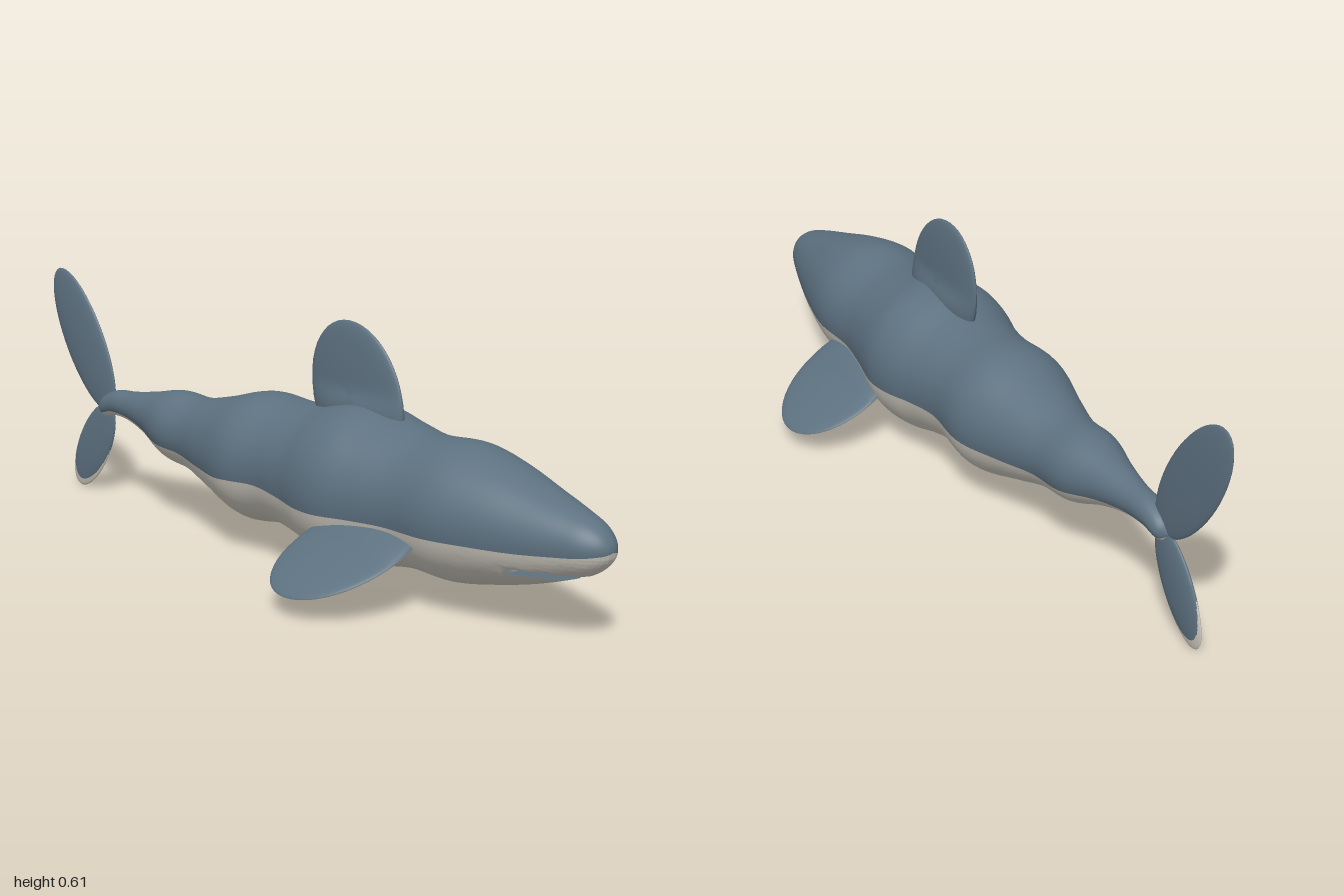
import * as THREE from 'three';
import { toCreasedNormals } from 'three/addons/utils/BufferGeometryUtils.js';

const slate = new THREE.MeshStandardMaterial({ color: 0x5d7180 });
slate.name = 'slate blue';
const pale = new THREE.MeshStandardMaterial({ color: 0xc8c4ba });
pale.name = 'pale belly';

// body stations: x, top y, bottom y
const stations = [
  [-0.79, 0.246, 0.242], [-0.77, 0.275, 0.222], [-0.72, 0.298, 0.23], [-0.65, 0.305, 0.225],
  [-0.56, 0.32, 0.2], [-0.46, 0.34, 0.158], [-0.36, 0.337, 0.143], [-0.25, 0.36, 0.108],
  [-0.12, 0.394, 0.07], [0, 0.39, 0.08], [0.1, 0.398, 0.062], [0.18, 0.418, 0.04],
  [0.25, 0.425, 0.034], [0.35, 0.405, 0.053], [0.45, 0.388, 0.068], [0.58, 0.393, 0.066],
  [0.69, 0.37, 0.085], [0.8, 0.335, 0.112], [0.9, 0.303, 0.145], [0.95, 0.284, 0.165],
  [0.98, 0.263, 0.187], [0.995, 0.243, 0.206], [1, 0.226, 0.224],
];
const spine = new THREE.CatmullRomCurve3(stations.map(([x, t, b]) => new THREE.Vector3(x, (t + b) / 2, (t - b) / 2)));
const rings = [];
for (let i = 0; i <= 132; i++) {
  const p = spine.getPoint(i / 132);
  rings.push({ x: p.x, cy: p.y, r: Math.max(p.z, 0.001) });
}

// skin lofted over rings; at(ring, v) gives a point
function loft(list, n, at) {
  const pos = [], idx = [];
  list.forEach((ring, i) => {
    for (let j = 0; j <= n; j++) {
      pos.push(...at(ring, j / n));
      if (i < list.length - 1 && j < n) {
        const a = i * (n + 1) + j, b = a + n + 1;
        idx.push(a, b, a + 1, b, b + 1, a + 1);
      }
    }
  });
  const g = new THREE.BufferGeometry();
  g.setAttribute('position', new THREE.Float32BufferAttribute(pos, 3));
  g.setIndex(idx);
  g.computeVertexNormals();
  return g;
}

const onRing = (k, a) => [k.x, k.cy + k.r * Math.sin(a), k.r * Math.cos(a)];
// angle where the back colour meets the belly colour, dropping towards the tail
const seam = (k) => Math.asin(-0.2 - 0.6 * Math.max(0, -k.x - 0.1));
const ROOF = 0.161, LIP = 0.146, MOUTH_X = 0.775;
const lipAngle = (k) => Math.asin(THREE.MathUtils.clamp((LIP - k.cy) / k.r, -1, 1));

// flattened ellipsoid half, chord along x and span along z before tilting
function finHalf(o, top) {
  const g = new THREE.SphereGeometry(1, 48, 12, 0, Math.PI * 2, top ? 0 : Math.PI / 2, Math.PI / 2);
  const p = g.attributes.position, side = o.side || 1;
  for (let i = 0; i < p.count; i++) {
    const s = p.getZ(i) * side;
    const flare = 1 + (o.flare || 0) * (1 - THREE.MathUtils.smoothstep(s, -0.2, 0.15));
    p.setXYZ(i, p.getX(i) * o.chord + (o.sweep || 0) * s, p.getY(i) * o.thick * flare, p.getZ(i) * o.span);
  }
  g.computeVertexNormals();
  return g.rotateX(o.tilt);
}

export function createModel() {
  const model = new THREE.Group();
  model.name = 'shark';
  const add = (name, geo, mat, parent = model) => {
    const m = new THREE.Mesh(geo, mat);
    m.name = name;
    parent.add(m);
    return m;
  };
  const fin = (name, o, under = slate) => {
    const g = new THREE.Group();
    g.name = name;
    g.position.set(...o.at);
    g.rotation.z = o.roll || 0;
    add(name + 'Upper', finHalf(o, true), slate, g);
    add(name + 'Lower', finHalf(o, false), under, g);
    model.add(g);
  };

  // back and belly, with the belly cut flat above the mouth
  add('back', loft(rings, 40, (k, v) => {
    const a = seam(k);
    return onRing(k, a + (Math.PI - 2 * a) * v);
  }), slate);
  add('belly', toCreasedNormals(loft(rings, 40, (k, v) => {
    const a = seam(k);
    const p = onRing(k, Math.PI - a + (Math.PI + 2 * a) * v);
    if (k.x > MOUTH_X) p[1] = Math.max(p[1], Math.min(ROOF, k.cy));
    return p;
  }), 0.7), pale);

  // lower jaw and mouth floor
  const jaw = rings.filter((k) => k.x > MOUTH_X - 0.02 && k.x < 0.91);
  add('lowerJaw', loft(jaw, 24, (k, v) => {
    const a = lipAngle(k);
    return onRing(k, Math.PI - a + (Math.PI + 2 * a) * v);
  }), pale);
  add('mouthFloor', loft(jaw, 8, (k, v) => {
    const a = lipAngle(k), p = onRing(k, a);
    return [p[0], p[1], p[2] * (1 - 2 * v)];
  }), slate);

  // fins
  fin('dorsalFin', {
    at: [0.205, 0.44, 0], chord: 0.153, thick: 0.019, span: 0.176, sweep: -0.028, tilt: -Math.PI / 2, flare: 0.8,
  });
  for (const side of [1, -1]) {
    fin(side > 0 ? 'leftPectoralFin' : 'rightPectoralFin', {
      at: [0.387, 0.14, 0.2 * side], chord: 0.156, thick: 0.016, span: 0.194, sweep: -0.025,
      tilt: 0.455 * side, side, flare: 0.6,
    }, pale);
  }
  fin('upperTailLobe', {
    at: [-0.864, 0.416, 0], chord: 0.083, thick: 0.014, span: 0.212, tilt: -Math.PI / 2, roll: 0.565,
  });
  const lower = { chord: 0.062, thick: 0.013, span: 0.14, tilt: -Math.PI / 2 };
  fin('lowerTailLobe', { ...lower, at: [-0.826, 0.132, 0], roll: -0.57 });

  // pale rim under the lower tail lobe
  for (const top of [true, false]) {
    const rim = add('tailRim', finHalf({ ...lower, thick: 0.011 }, top), pale);
    rim.position.set(-0.829, 0.126, 0);
    rim.rotation.z = -0.57;
  }
  return model;
}
